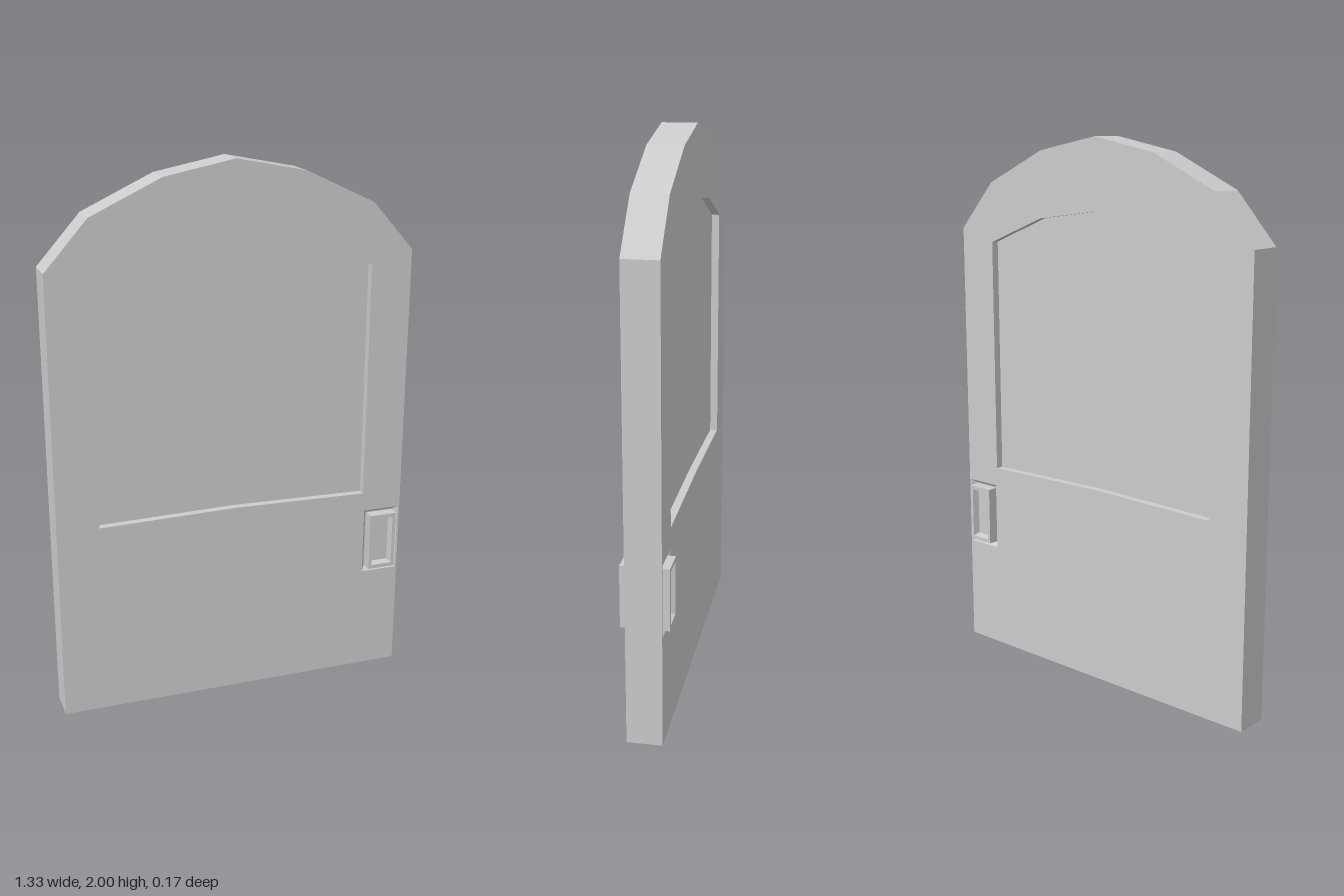
import * as THREE from 'three';

const HALF = 0.0625; // half the door thickness
const material = new THREE.MeshStandardMaterial({ color: 0xcccccc, flatShading: true });

const points = (list) => list.map(([x, y]) => new THREE.Vector2(x, y));

// Closed outline, mirrored in x, from its right half (bottom to top) and the middle of its top
function mirrored(right, top, bottom = []) {
  const left = right.map(([x, y]) => [-x, y]).reverse();
  return points([...bottom, ...right, top, ...left]);
}

// Nested rectangles [x0, x1, y0, y1, z] joined by bands and closed by a cap; side is 1 or -1
function steppedRects(rects, side) {
  const pos = [], index = [];
  for (const [x0, x1, y0, y1, z] of rects) {
    pos.push(x0, y0, z * side, x1, y0, z * side, x1, y1, z * side, x0, y1, z * side);
  }
  const quad = (a, b, c, d) => index.push(...(side > 0 ? [a, b, c, a, c, d] : [a, c, b, a, d, c]));
  for (let r = 0; r < rects.length - 1; r++) {
    for (let i = 0; i < 4; i++) {
      const j = (i + 1) % 4, o = r * 4;
      quad(o + i, o + j, o + 4 + j, o + 4 + i);
    }
  }
  const last = (rects.length - 1) * 4;
  quad(last, last + 1, last + 2, last + 3);
  const geometry = new THREE.BufferGeometry();
  geometry.setAttribute('position', new THREE.Float32BufferAttribute(pos, 3));
  geometry.setIndex(index);
  const flat = geometry.toNonIndexed();
  flat.computeVertexNormals();
  return flat;
}

export function createModel() {
  const door = new THREE.Group();
  door.name = 'door';
  const add = (name, geometry) => {
    const mesh = new THREE.Mesh(geometry, material);
    mesh.name = name;
    door.add(mesh);
    return mesh;
  };

  const outline = mirrored([[0.665, 0], [0.665, 1.655], [0.51, 1.83], [0.255, 1.95]], [0, 2]);
  const panel = mirrored([[0.51, 0.73], [0.51, 1.61], [0.26, 1.71]], [0, 1.745], [[0, 0.74]]);
  const pocket = [0.518, 0.658, 0.402, 0.658, HALF];
  const [x0, x1, y0, y1] = pocket;

  // Arched slab with openings for the panel and the handle pocket
  const slab = new THREE.Shape(outline);
  slab.holes.push(new THREE.Path(panel));
  slab.holes.push(new THREE.Path(points([[x0, y0], [x1, y0], [x1, y1], [x0, y1]])));
  const slabGeometry = new THREE.ExtrudeGeometry(slab, { depth: 2 * HALF, bevelEnabled: false });
  slabGeometry.translate(0, 0, -HALF);
  add('doorSlab', slabGeometry);

  // Handle section: sloped pocket, raised rim, tapered inner recess
  const handle = [
    pocket,
    [0.531, 0.645, 0.415, 0.645, 0.045],
    [0.535, 0.641, 0.419, 0.641, 0.045],
    [0.535, 0.641, 0.419, 0.641, 0.0845],
    [0.548, 0.628, 0.434, 0.626, 0.0845],
    [0.555, 0.621, 0.441, 0.619, 0.06],
  ];

  for (const side of [1, -1]) {
    const label = side > 0 ? 'front' : 'back';
    // Recessed panel on each face
    const recess = add(label + 'Panel', new THREE.ShapeGeometry(new THREE.Shape(panel)));
    recess.position.z = side * 0.034;
    if (side < 0) recess.rotation.y = Math.PI;
    add(label + 'Handle', steppedRects(handle, side));
  }
  return door;
}
